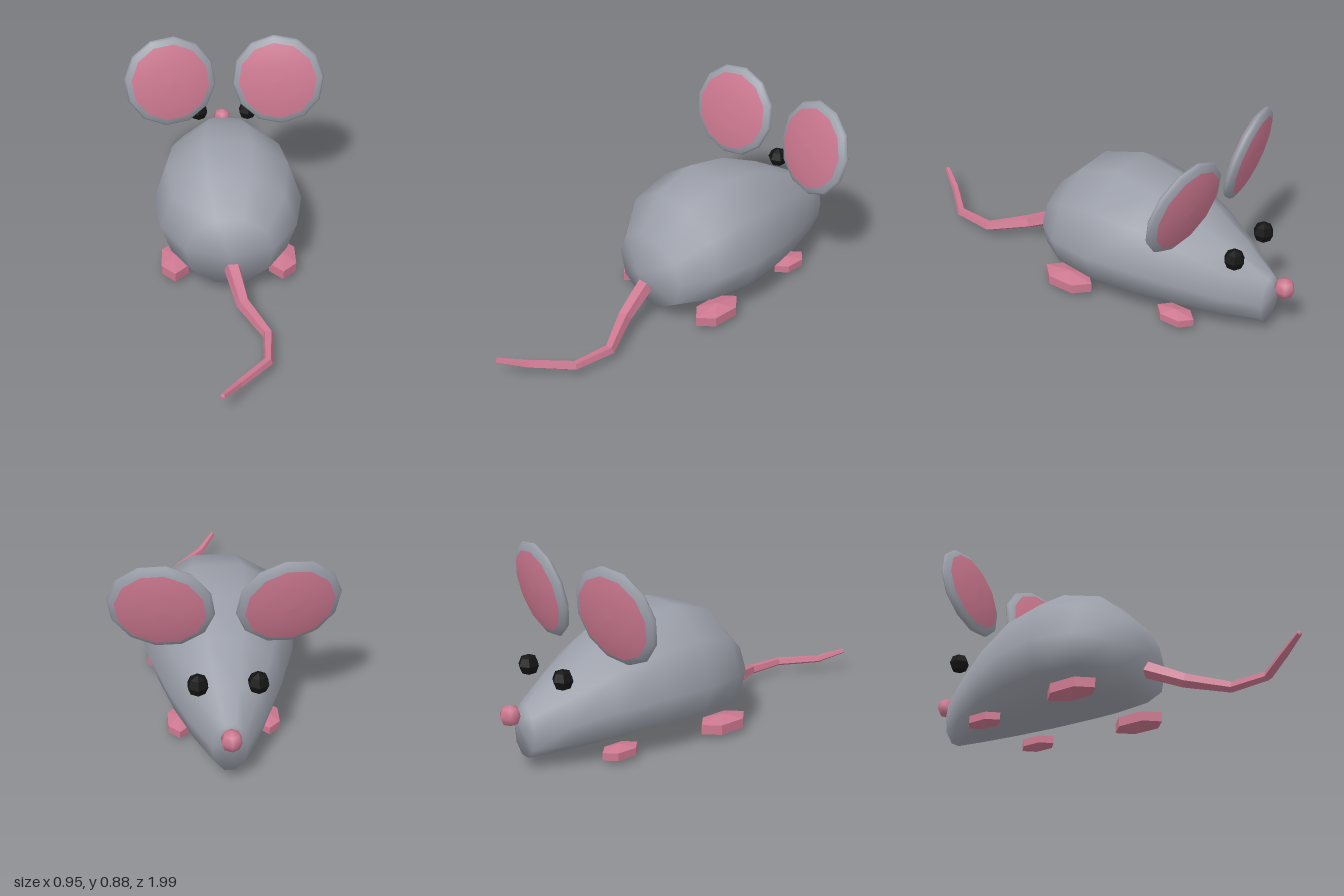
import * as THREE from 'three';
import { mergeVertices } from 'three/addons/utils/BufferGeometryUtils.js';

const mat = (color, flatShading = false) => new THREE.MeshStandardMaterial({ color, flatShading });

// Skin a list of point rings, ordered from +z to -z, each going clockwise seen from +z
function loft(rings) {
  const n = rings[0].length;
  const index = [];
  for (let i = 0; i < rings.length - 1; i++) {
    for (let j = 0; j < n; j++) {
      const a = i * n + j, b = i * n + (j + 1) % n, c = a + n, d = b + n;
      index.push(a, b, c, b, d, c);
    }
  }
  let geo = new THREE.BufferGeometry();
  geo.setAttribute('position', new THREE.Float32BufferAttribute(rings.flat(2), 3));
  geo.setIndex(index);
  geo = mergeVertices(geo);
  geo.computeVertexNormals();
  return geo;
}

export function createModel() {
  const model = new THREE.Group();
  model.name = 'mouse';
  const fur = mat(0x9a9ea8);
  const pink = mat(0xcc7890);
  const pinkFlat = mat(0xcc7890, true);
  const black = mat(0x141414, true);

  const add = (name, geo, material, x = 0, y = 0, z = 0, parent = model) => {
    const mesh = new THREE.Mesh(geo, material);
    mesh.name = name;
    mesh.position.set(x, y, z);
    parent.add(mesh);
    return mesh;
  };

  // Body: ten-sided sections [z, half width, top, middle, bottom]
  const sections = [
    [0.25, 0, 0.24, 0.24, 0.24],
    [0.18, 0.2, 0.39, 0.24, 0.055],
    [0.04, 0.31, 0.53, 0.27, 0.055],
    [-0.16, 0.345, 0.59, 0.28, 0.055],
    [-0.36, 0.312, 0.56, 0.27, 0.055],
    [-0.56, 0.245, 0.475, 0.24, 0.055],
    [-0.74, 0.16, 0.375, 0.2, 0.055],
    [-0.885, 0.072, 0.285, 0.17, 0.055],
    [-0.93, 0, 0.24, 0.24, 0.24],
  ];
  const c18 = Math.cos(Math.PI / 10);
  add('body', loft(sections.map(([z, w, top, mid, bottom]) =>
    Array.from({ length: 10 }, (_, j) => {
      const a = (j + 0.5) * Math.PI / 5;
      const c = Math.cos(a);
      const x = w * Math.sin(a) * (c < -0.01 ? 1.06 : 1);
      return [x, mid + c / c18 * (c > 0 ? top - mid : mid - bottom), z];
    }))), fur);

  // Tail: tapering five-sided tube from tip to base [x, y, z, radius]
  const tail = [
    [-0.06, 0.107, 0.995, 0],
    [-0.06, 0.107, 0.99, 0.012],
    [0.01, 0.07, 0.88, 0.018],
    [0.14, 0.056, 0.73, 0.021],
    [0.15, 0.052, 0.55, 0.025],
    [0.05, 0.09, 0.38, 0.032],
    [0.01, 0.165, 0.22, 0.038],
    [0, 0.2, 0.15, 0.038],
  ];
  add('tail', loft(tail.map(([x, y, z, r], i) => {
    const p = tail[Math.max(i - 1, 0)], q = tail[Math.min(i + 1, tail.length - 1)];
    const dir = new THREE.Vector3(p[0] - q[0], p[1] - q[1], p[2] - q[2]).normalize();
    const side = new THREE.Vector3(0, 1, 0).cross(dir).normalize();
    const up = dir.clone().cross(side);
    return Array.from({ length: 5 }, (_, j) => {
      const a = j * Math.PI * 2 / 5 + 0.6;
      return new THREE.Vector3(x, y, z)
        .addScaledVector(side, r * Math.sin(a))
        .addScaledVector(up, r * Math.cos(a)).toArray();
    });
  })), pinkFlat);

  // Nose
  const bead = new THREE.SphereGeometry(0.047, 6, 4).rotateY(Math.PI / 6);
  add('nose', bead, pink, 0, 0.255, -0.951);

  // Ear profiles: lens-shaped pink centre and a grey outer rim
  const R = 0.22, T = 0.045;
  const lens = (from, to, steps) => Array.from({ length: steps + 1 }, (_, i) => {
    const a = THREE.MathUtils.degToRad(from + (to - from) * i / steps);
    return new THREE.Vector2(Math.max(R * Math.cos(a), 0), T * Math.sin(a));
  });
  const disc = (points, roll) => new THREE.LatheGeometry(points, 12).rotateX(Math.PI / 2).rotateZ(roll);

  for (const s of [1, -1]) {
    const side = s > 0 ? 'left' : 'right';

    const ear = new THREE.Group();
    ear.name = side + 'Ear';
    ear.position.set(s * 0.258, 0.667, -0.597);
    ear.rotation.set(-0.21, -s * 0.14, 0);
    const roll = s * THREE.MathUtils.degToRad(6);
    add('earRim', disc(lens(-32, 32, 4), roll), fur, 0, 0, 0, ear);
    add('earFront', disc(lens(-90, -32, 3), roll), pink, 0, 0, 0, ear);
    add('earBack', disc(lens(32, 90, 3), roll), pink, 0, 0, 0, ear);
    model.add(ear);

    add(side + 'Eye', bead, black, s * 0.122, 0.4, -0.77);

    // Feet: flattened hexagonal pebbles
    const foot = (name, w, h, l, x, y, z) => {
      const geo = new THREE.SphereGeometry(1, 6, 3).rotateY(Math.PI / 2);
      add(name, geo.scale(w / 0.75, h, l / Math.sin(Math.PI / 3)), pinkFlat, s * x, y, z);
    };
    foot(side + 'HindFoot', 0.0625, 0.044, 0.127, 0.248, 0.044, 0);
    foot(side + 'FrontFoot', 0.048, 0.034, 0.093, 0.19, 0.041, -0.535);
  }

  return model;
}
